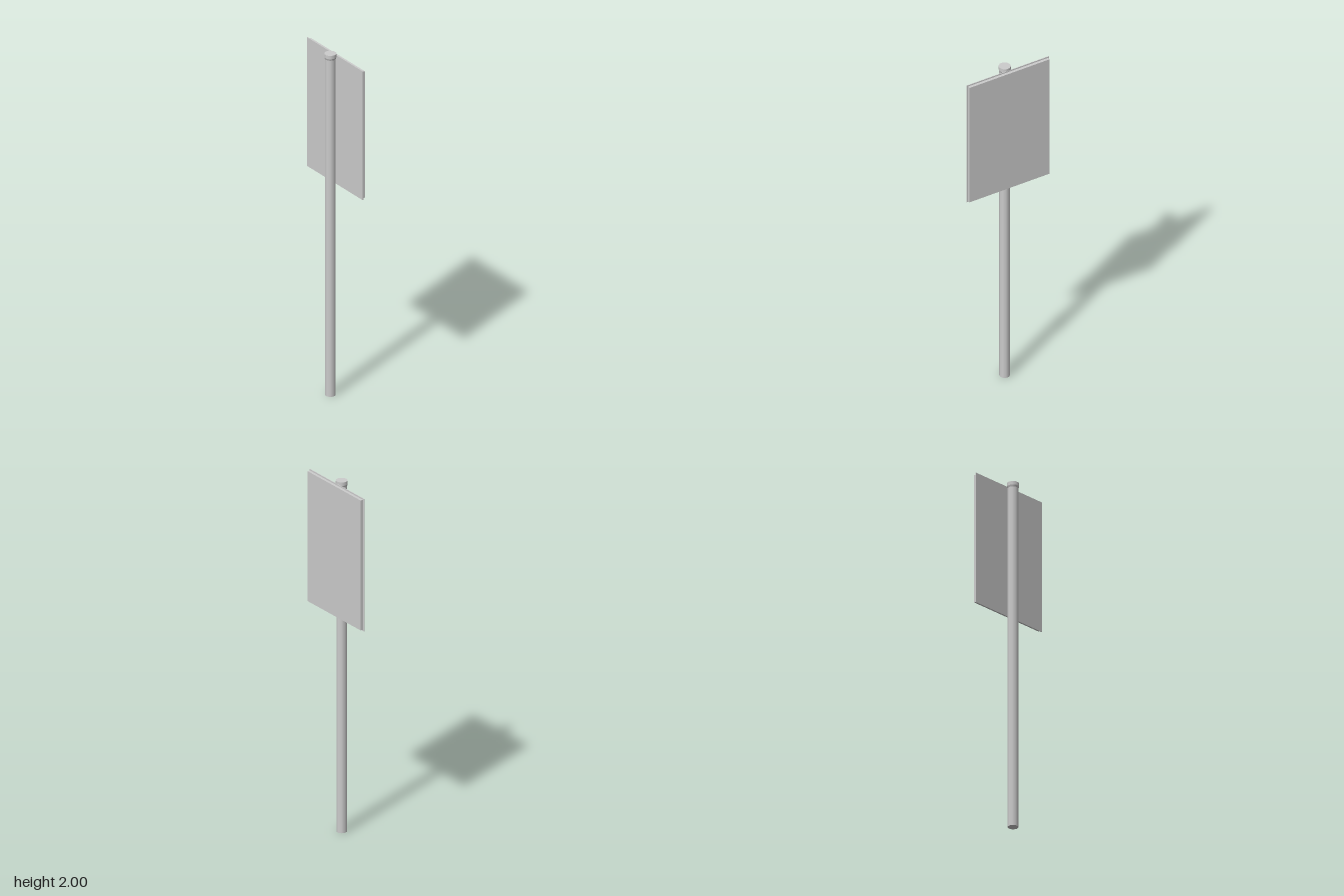
import * as THREE from 'three';

export function createModel() {
  const group = new THREE.Group();
  group.name = 'signPost';
  const grey = new THREE.MeshStandardMaterial({ color: 0xcccccc });
  grey.name = 'grey metal';

  const add = (name, geometry, y, z) => {
    const mesh = new THREE.Mesh(geometry, grey);
    mesh.name = name;
    mesh.position.set(0, y, z);
    group.add(mesh);
  };

  // Ten-sided post sections, with corners on the x axis
  const section = (name, rTop, rBottom, y0, y1, open) =>
    add(name, new THREE.CylinderGeometry(rTop, rBottom, y1 - y0, 10, 1, open, Math.PI / 2),
      (y0 + y1) / 2, 0.0075);

  section('post', 0.029, 0.029, 0, 1.97, false);
  section('capFlare', 0.033, 0.029, 1.97, 1.98, true);
  section('cap', 0.033, 0.033, 1.98, 2, false);

  // Thin sign plate behind the post, with a slightly smaller board on its back
  add('signPlate', new THREE.BoxGeometry(0.51, 0.754, 0.004), 1.609, -0.0235);
  add('signBoard', new THREE.BoxGeometry(0.496, 0.74, 0.016), 1.609, -0.0335);

  return group;
}
